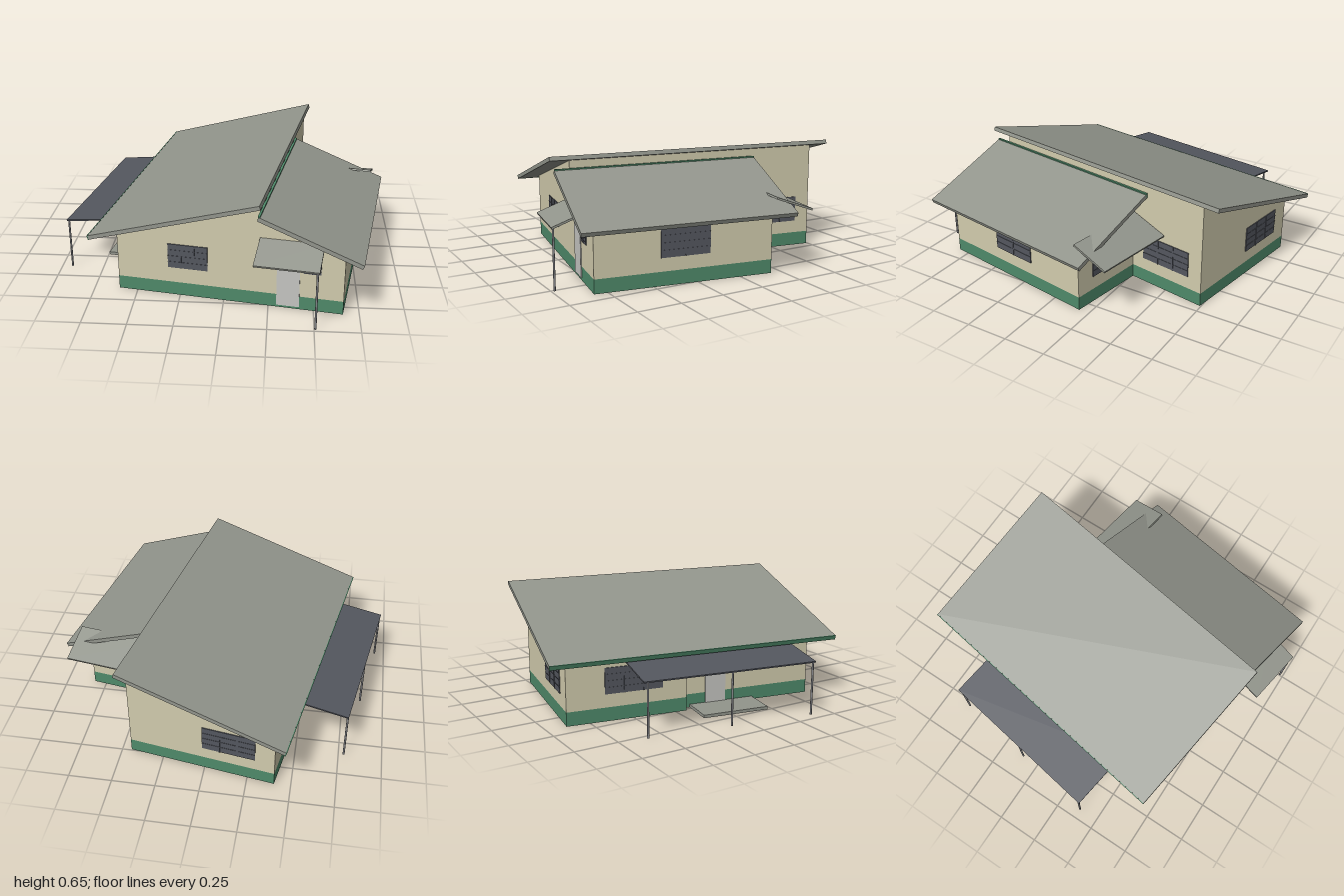
import * as THREE from 'three';

const mat = (name, color) => {
  const m = new THREE.MeshStandardMaterial({ color });
  m.name = name;
  return m;
};

export function createModel() {
  const cream = mat('creamWall', 0xd2ccae);
  const green = mat('greenTrim', 0x4f8a6a);
  const roofGrey = mat('roofGrey', 0x92958c);
  const slate = mat('slate', 0x54575f);
  const doorGrey = mat('doorGrey', 0xc6c6c2);
  const postGrey = mat('postGrey', 0x85868a);

  const house = new THREE.Group();
  house.name = 'house';

  const add = (name, geo, material, parent = house) => {
    const m = new THREE.Mesh(geo, material);
    m.name = name;
    parent.add(m);
    return m;
  };
  // box given by its limits
  const box = (name, x0, x1, y0, y1, z0, z1, material, parent) => {
    const m = add(name, new THREE.BoxGeometry(x1 - x0, y1 - y0, z1 - z0), material, parent);
    m.position.set((x0 + x1) / 2, (y0 + y1) / 2, (z0 + z1) / 2);
    return m;
  };
  // outline in x,y pulled from z0 to z1
  const prism = (pts, z0, z1) => {
    const shape = new THREE.Shape(pts.map(([x, y]) => new THREE.Vector2(x, y)));
    return new THREE.ExtrudeGeometry(shape, { depth: z1 - z0, bevelEnabled: false }).translate(0, 0, z0);
  };
  // slab whose top edge runs from a to b, with square-cut ends
  const slabOutline = ([ax, ay], [bx, by], t) => {
    const l = Math.hypot(bx - ax, by - ay);
    const nx = ((by - ay) / l) * t, ny = (-(bx - ax) / l) * t;
    return [[ax, ay], [bx, by], [bx + nx, by + ny], [ax + nx, ay + ny]];
  };
  // slab sloping along z, spanning x0 to x1 (a and b are z,y with a behind b)
  const slopeZ = (a, b, t, x0, x1) =>
    prism(slabOutline([-b[0], b[1]], [-a[0], a[1]], t), x0, x1).rotateY(Math.PI / 2);

  // green plinth
  box('mainBase', -0.5, 0.32, 0, 0.08, -0.805, 0.707, green);
  box('annexBase', 0.32, 0.785, 0, 0.08, -0.317, 0.707, green);
  box('sideBayBase', -0.543, -0.5, 0, 0.08, -0.805, -0.1, green);

  // walls, sloped to meet the roofs
  const mainUnder = x => 0.35 + 0.2917 * (x + 0.626);
  const annexUnder = x => 0.553 - 0.387 * (x - 0.325);
  const wall = (name, x0, x1, under, z0, z1) =>
    add(name, prism([[x0, 0.08], [x1, 0.08], [x1, under(x1)], [x0, under(x0)]], z0, z1), cream);
  wall('mainWalls', -0.5, 0.32, mainUnder, -0.805, 0.707);
  wall('annexWalls', 0.32, 0.785, annexUnder, -0.317, 0.707);
  wall('sideBayWalls', -0.543, -0.5, mainUnder, -0.805, -0.1);

  // roofs
  add('mainRoof', prism(slabOutline([-0.626, 0.375], [0.335, 0.655], 0.024), -0.911, 0.822), roofGrey);
  add('annexRoof', prism(slabOutline([0.328, 0.577], [0.89, 0.361], 0.024), -0.42, 0.796), roofGrey);
  const fascia = add('mainFascia', new THREE.BoxGeometry(0.006, 0.026, 1.733), green);
  fascia.position.set(-0.625, 0.363, -0.0445);
  fascia.rotation.z = Math.atan(0.2917);
  box('annexFascia', 0.322, 0.334, 0.557, 0.582, -0.42, 0.794, green);

  // sloping canopies at the front door and behind the annex
  add('frontCanopy', slopeZ([0.707, 0.417], [0.897, 0.347], 0.012, 0.319, 0.671), roofGrey);
  add('rearCanopy', slopeZ([-0.548, 0.36], [-0.327, 0.44], 0.012, 0.326, 0.823), roofGrey);

  // side porch
  const porch = new THREE.Group();
  porch.name = 'sidePorch';
  house.add(porch);
  add('porchRoof', prism(slabOutline([-0.875, 0.312], [-0.5, 0.358], 0.008), -0.48, 0.539), slate, porch);
  box('porchStep', -0.7, -0.5, 0, 0.018, -0.06, 0.34, roofGrey, porch);

  // posts
  const post = (name, x, z, h, parent) => {
    add(name, new THREE.CylinderGeometry(0.006, 0.006, h, 8), postGrey, parent).position.set(x, h / 2, z);
  };
  for (const z of [-0.455, 0.03, 0.525]) post('porchPost', -0.866, z, 0.307, porch);
  post('canopyPost', 0.659, 0.885, 0.342);

  // thin panel on a wall; angle turns it from facing the front
  const panel = (name, x, y, z, w, h, angle, material, panes = 0) => {
    const g = new THREE.Group();
    g.name = name;
    g.position.set(x, y, z);
    g.rotation.y = angle;
    house.add(g);
    add(name + 'Panel', new THREE.BoxGeometry(w, h, 0.006), material, g);
    // glazing bars
    for (let i = 1; i < panes; i++)
      box('windowUpright', -w / 2 + (w * i) / panes - 0.003, -w / 2 + (w * i) / panes + 0.003,
        -h / 2, h / 2, 0.003, 0.006, material, g);
    for (let j = 1; panes && j < 4; j++)
      box('windowBar', -w / 2, w / 2, -h / 2 + (h * j) / 4 - 0.002, -h / 2 + (h * j) / 4 + 0.002,
        0.003, 0.005, material, g);
  };
  const Q = Math.PI / 2;
  panel('frontWindow', -0.089, 0.247, 0.709, 0.228, 0.146, 0, slate, 3);
  panel('smallFrontWindow', 0.61, 0.267, 0.709, 0.096, 0.076, 0, slate, 2);
  panel('frontDoor', 0.479, 0.165, 0.709, 0.127, 0.3, 0, doorGrey);
  panel('annexSideWindow', 0.787, 0.238, 0.196, 0.284, 0.163, Q, slate, 2);
  panel('mainSideWindow', 0.322, 0.232, -0.557, 0.319, 0.152, Q, slate, 3);
  panel('annexRearWindow', 0.53, 0.235, -0.319, 0.28, 0.145, 2 * Q, slate, 3);
  panel('mainRearWindow', -0.275, 0.232, -0.807, 0.31, 0.155, 2 * Q, slate, 3);
  panel('porchSideWindow', -0.545, 0.232, -0.415, 0.34, 0.15, -Q, slate, 3);
  panel('porchDoor', -0.502, 0.168, 0.1, 0.127, 0.3, -Q, doorGrey);

  // the house stands slightly turned on its plot
  house.rotation.y = -0.1625;
  const model = new THREE.Group();
  model.name = 'model';
  model.add(house);
  return model;
}
